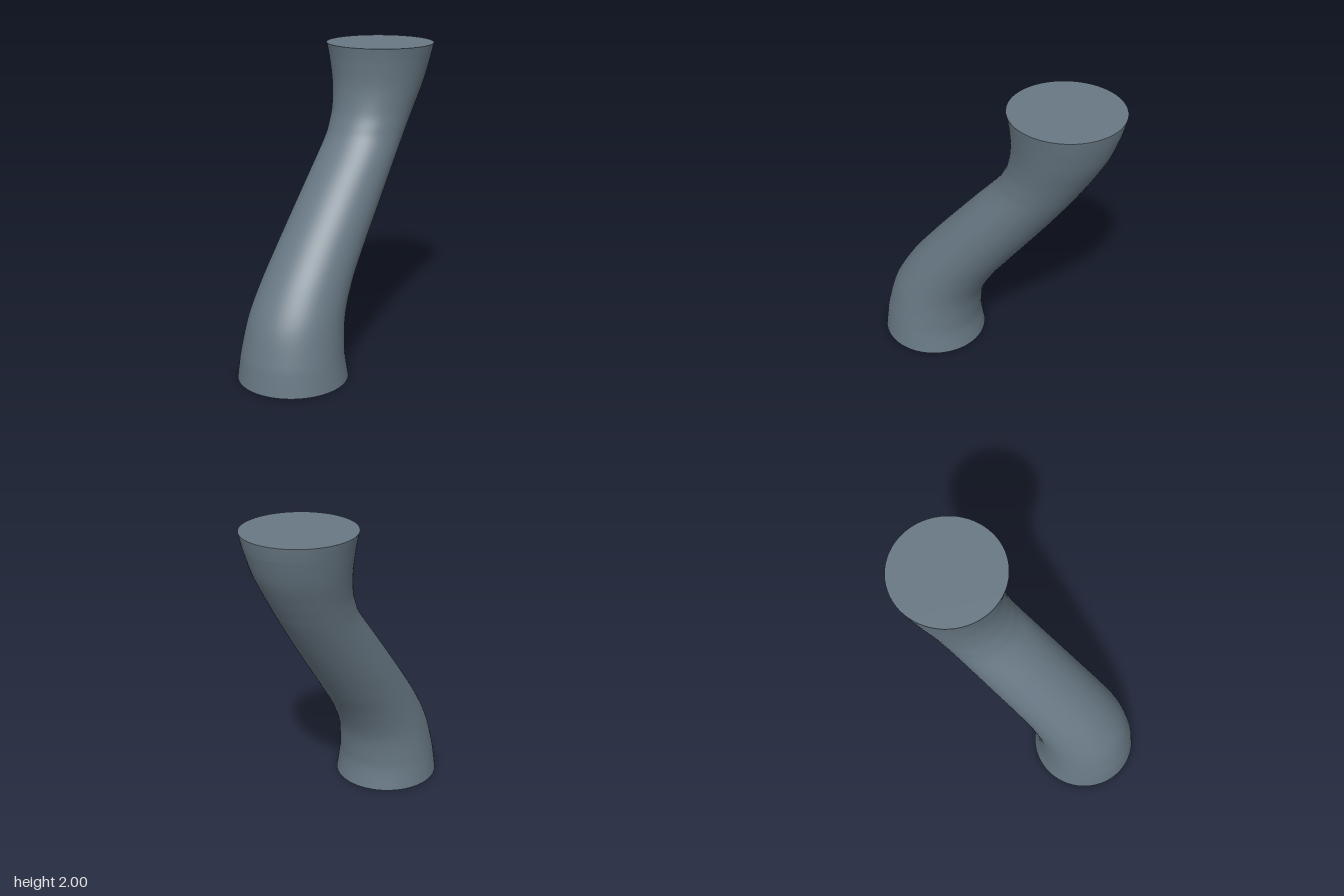
import * as THREE from 'three';

// Cross-section stations: [height, front z, back z, half width]
const STATIONS = [
  [0, 0.825, 0.125, 0.35], [0.095, 0.813, 0.142, 0.337], [0.2, 0.795, 0.147, 0.323],
  [0.4, 0.735, 0.115, 0.299], [0.6, 0.62, 0.015, 0.28], [0.8, 0.47, -0.125, 0.268],
  [1.0, 0.307, -0.27, 0.261], [1.2, 0.14, -0.412, 0.254], [1.4, -0.03, -0.548, 0.25],
  [1.5, -0.09, -0.61, 0.256], [1.6, -0.128, -0.67, 0.268], [1.75, -0.15, -0.75, 0.297],
  [1.91, -0.14, -0.806, 0.33], [2, -0.125, -0.825, 0.35],
];
const SIDES = 64;
const LAST = STATIONS.length - 1;

const curveOf = (pick) => new THREE.CatmullRomCurve3(
  STATIONS.map((s) => new THREE.Vector3(...pick(s))), false, 'catmullrom', 0.5);
const frontCurve = curveOf(([y, front, , width]) => [width, y, front]);
const backCurve = curveOf(([y, , back, width]) => [width, y, back]);

// Elliptical ring at a (fractional) station
function ring(station) {
  const f = frontCurve.getPoint(station / LAST);
  const b = backCurve.getPoint(station / LAST);
  const points = [];
  for (let i = 0; i < SIDES; i++) {
    const a = (i / SIDES) * Math.PI * 2;
    points.push(Math.sin(a) * f.x, f.y, (f.z + b.z) / 2 + Math.cos(a) * (f.z - b.z) / 2);
  }
  return points;
}

function toGeometry(positions, index) {
  const geometry = new THREE.BufferGeometry();
  geometry.setAttribute('position', new THREE.Float32BufferAttribute(positions, 3));
  geometry.setIndex(index);
  geometry.computeVertexNormals();
  return geometry;
}

// Smooth skin between two stations
function skin(from, to, steps) {
  const positions = [], index = [];
  for (let r = 0; r <= steps; r++) {
    positions.push(...ring(from + ((to - from) * r) / steps));
    if (r === steps) break;
    for (let i = 0; i < SIDES; i++) {
      const a = r * SIDES + i, b = r * SIDES + (i + 1) % SIDES;
      index.push(a, b, b + SIDES, a, b + SIDES, a + SIDES);
    }
  }
  return toGeometry(positions, index);
}

// Flat end disc
function disc(station, up) {
  const index = [];
  for (let i = 1; i < SIDES - 1; i++) index.push(0, ...(up ? [i, i + 1] : [i + 1, i]));
  return toGeometry(ring(station), index);
}

export function createModel() {
  const group = new THREE.Group();
  const slate = new THREE.MeshStandardMaterial({ color: 0x687884 });
  slate.name = 'slateGrey';
  const add = (name, geometry) => {
    const mesh = new THREE.Mesh(geometry, slate);
    mesh.name = name;
    group.add(mesh);
  };

  add('bottomCollar', skin(0, 1, 2));
  add('curvedNeck', skin(1, LAST - 1, 66));
  add('topCollar', skin(LAST - 1, LAST, 2));
  add('bottomCap', disc(0, false));
  add('topCap', disc(LAST, true));
  return group;
}
